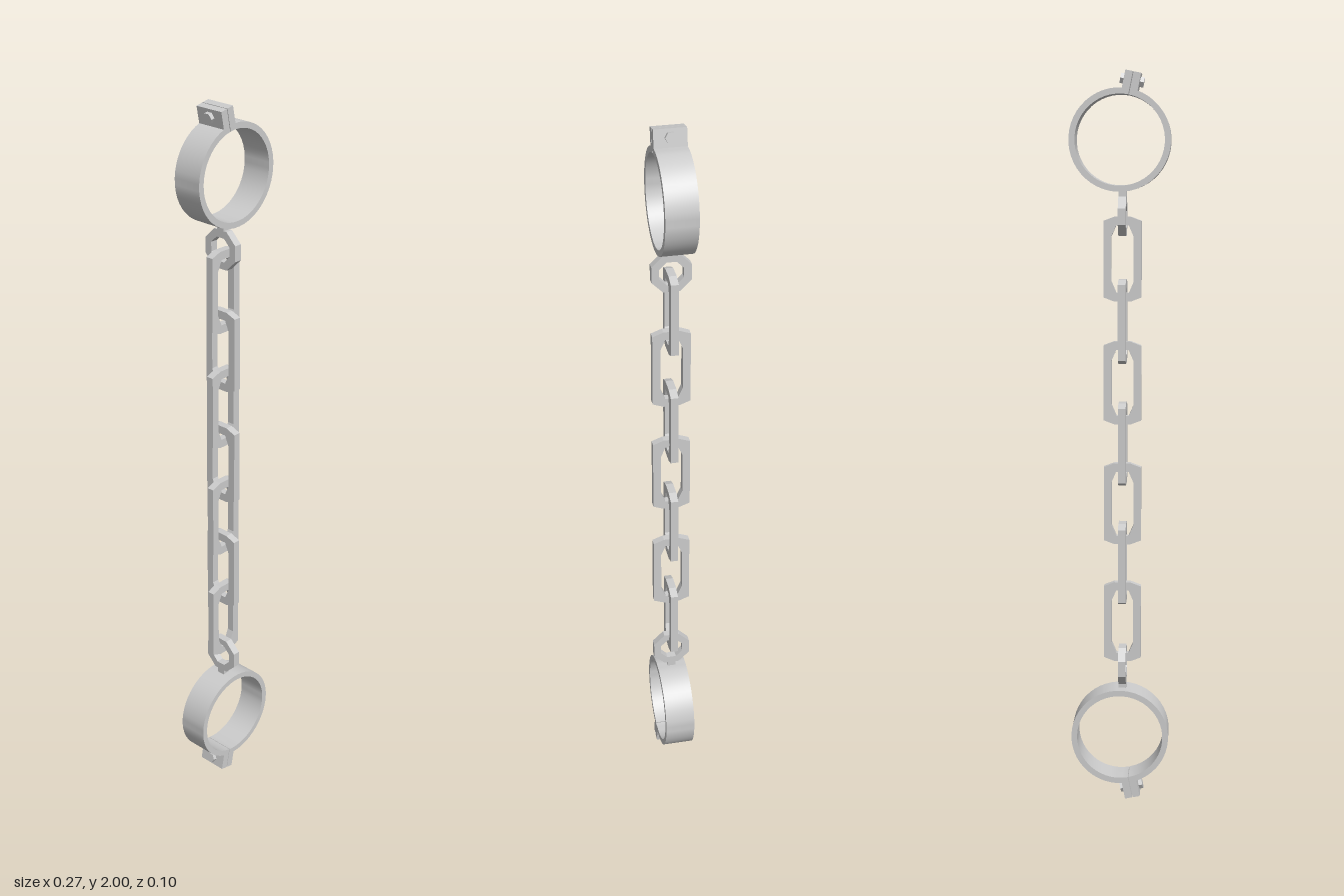
import * as THREE from 'three';
import { toCreasedNormals } from 'three/addons/utils/BufferGeometryUtils.js';

const steel = new THREE.MeshStandardMaterial({ color: 0xcccccc });
const flatSteel = new THREE.MeshStandardMaterial({ color: 0xcccccc, flatShading: true });
const CHAIN_X = -0.006;
const WIRE = 0.021;

function add(parent, name, geometry, material = flatSteel) {
  const mesh = new THREE.Mesh(geometry, material);
  mesh.name = name;
  parent.add(mesh);
  return mesh;
}

// Extrude a shape, centred on z
function plate(shape, depth, curveSegments = 12) {
  const g = new THREE.ExtrudeGeometry(shape, { depth, bevelEnabled: false, curveSegments });
  return g.translate(0, 0, -depth / 2);
}

// Eight-sided outline from two corner points, mirrored to four quadrants
function octagon([ax, ay], [bx, by]) {
  return [[ax, ay], [bx, by], [-bx, by], [-ax, ay], [-ax, -ay], [-bx, -by], [bx, -by], [ax, -ay]]
    .map(([x, y]) => new THREE.Vector2(x, y));
}

function loopGeometry(outer, inner) {
  const shape = new THREE.Shape(octagon(...outer));
  shape.holes.push(new THREE.Path(octagon(...inner)));
  return plate(shape, WIRE);
}

// Cuff with split clamp and bolt; the clamp is up and the chain side is down
function createCuff() {
  const cuff = new THREE.Group();
  const tilt = 0.2, gap = 0.008, width = 0.084;
  const start = Math.PI / 2 + tilt + gap, end = Math.PI * 2.5 + tilt - gap;

  const band = new THREE.Shape();
  band.absarc(0, 0, 0.135, start, end, false);
  band.absarc(0, 0, 0.119, end, start, true);
  add(cuff, 'band', toCreasedNormals(plate(band, width, 24), 0.6), steel);

  const clamp = new THREE.Group();
  clamp.name = 'clamp';
  clamp.rotation.z = tilt;
  cuff.add(clamp);
  for (const side of [-1, 1]) {
    add(clamp, 'clampPlate', new THREE.BoxGeometry(0.02, 0.052, width))
      .position.set(side * 0.011, 0.1535, 0);
    const head = add(clamp, 'boltHead', new THREE.CylinderGeometry(0.015, 0.015, 0.011, 6));
    head.rotation.z = Math.PI / 2;
    head.position.set(side * 0.0262, 0.158, 0);
  }
  const shank = add(clamp, 'boltShank', new THREE.CylinderGeometry(0.008, 0.008, 0.05, 8));
  shank.rotation.z = Math.PI / 2;
  shank.position.y = 0.158;

  // Stub and eye that hold the chain
  add(cuff, 'eyeStub', new THREE.BoxGeometry(WIRE, 0.028, 0.024)).position.set(CHAIN_X, -0.141, 0);
  const eye = add(cuff, 'eye', loopGeometry(
    [[0.052, 0.0215], [0.0215, 0.052]], [[0.032, 0.013], [0.013, 0.032]]));
  eye.rotation.y = Math.PI / 2;
  eye.position.set(CHAIN_X, -0.2, 0);
  return cuff;
}

export function createModel() {
  const model = new THREE.Group();
  model.name = 'shackles';

  const upper = createCuff();
  upper.name = 'upperCuff';
  upper.position.y = 1.82;
  const lower = createCuff();
  lower.name = 'lowerCuff';
  lower.position.y = 0.18;
  lower.rotation.x = Math.PI;
  model.add(upper, lower);

  // Seven links, each turned a quarter from the one before
  const chain = new THREE.Group();
  chain.name = 'chain';
  model.add(chain);
  const link = loopGeometry(
    [[0.051, 0.102], [0.022, 0.113]], [[0.03, 0.06], [0.017, 0.09]]);
  for (let i = 0; i < 7; i++) {
    const mesh = add(chain, 'link', link);
    mesh.position.set(CHAIN_X, 1.005 + (3 - i) * 0.167, 0);
    mesh.rotation.y = i % 2 ? Math.PI / 2 : 0;
  }
  return model;
}
